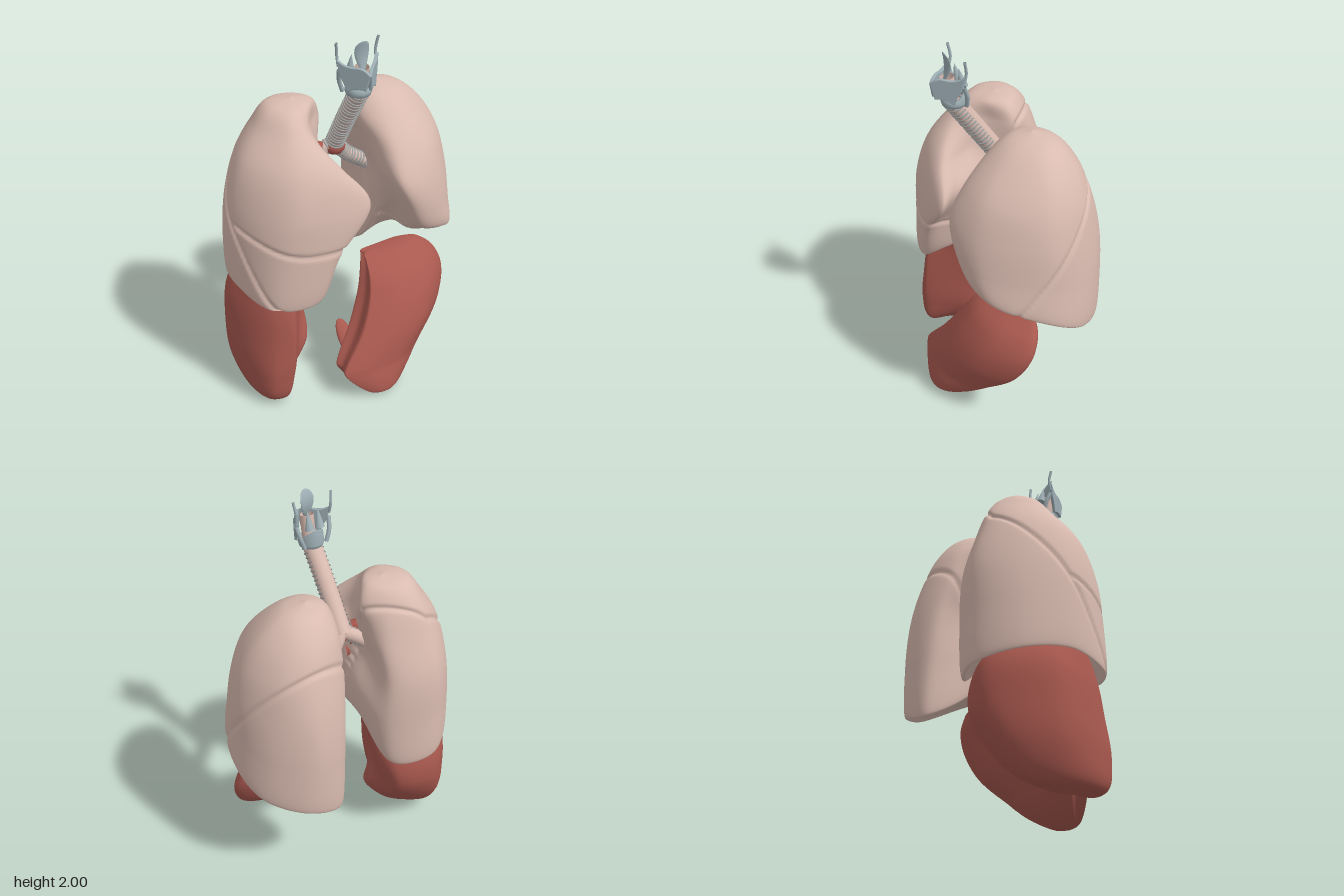
import * as THREE from 'three';

const V = (x, y, z) => new THREE.Vector3(x, y, z);
const mat = (color) => new THREE.MeshStandardMaterial({ color, side: THREE.DoubleSide });
const LUNG = mat(0xd9bbb0), LIVER = mat(0xa9594f), CARTILAGE = mat(0x9fb0b6), RING = mat(0xa3a8a8);

function add(parent, name, geometry, material, position) {
  const mesh = new THREE.Mesh(geometry, material);
  mesh.name = name;
  if (position) mesh.position.set(...position);
  parent.add(mesh);
  return mesh;
}

// Smooth closed surface through rings of points, from the first pole to the last
function loft(rings, rows, cols) {
  const columns = rings[0].map((_, j) => new THREE.CatmullRomCurve3(rings.map((r) => r[j])));
  const pos = [], index = [];
  for (let i = 0; i <= rows; i++) {
    const row = new THREE.CatmullRomCurve3(columns.map((c) => c.getPoint(i / rows)), true);
    for (let j = 0; j < cols; j++) pos.push(...row.getPoint(j / cols).toArray());
  }
  for (let i = 0; i < rows; i++) for (let j = 0; j < cols; j++) {
    const a = i * cols + j, b = i * cols + (j + 1) % cols;
    index.push(a, b, b + cols, a, b + cols, a + cols);
  }
  // Turn the faces outward, judged by the enclosed volume
  const at = (i) => V().fromArray(pos, i * 3);
  let volume = 0;
  for (let k = 0; k < index.length; k += 3)
    volume += at(index[k]).dot(at(index[k + 1]).cross(at(index[k + 2])));
  if (volume < 0) index.reverse();
  const g = new THREE.BufferGeometry();
  g.setAttribute('position', new THREE.Float32BufferAttribute(pos, 3));
  g.setIndex(index);
  g.computeVertexNormals();
  return g;
}
const pole = (p, n) => Array.from({ length: n }, () => p.clone());

// Lung: sections run front, front-side, side, back-side, back, back-middle, middle, front-middle
function lung(parent, name, side, levels, rims, sections, dome, apex, lobes, fissures, lobeOf) {
  const rings = sections.map((s, k) => s.map(([x, z], j) => {
    const f = (levels[k] - 0.65) / 0.98;
    return V(side * x, levels[k] + (rims[j] - 0.65) * (1 - f) ** 2, z);
  }));
  // Underside that rests on the diaphragm
  const under = (t, rise) => rings[0].map((p) => {
    const q = p.clone().lerp(dome, t);
    q.y = p.y + (dome.y - p.y) * rise;
    return q;
  });
  const g = loft([pole(dome, 8), under(0.5, 0.75), under(0.1, 0.15), ...rings, pole(apex, 8)], 180, 130);

  // Press the fissures into the surface
  const p = g.attributes.position, n = g.attributes.normal;
  for (let i = 0; i < p.count; i++) {
    const q = V().fromBufferAttribute(p, i);
    const d = Math.min(...fissures.map((f) => Math.abs(f(q))));
    q.addScaledVector(V().fromBufferAttribute(n, i), -0.012 * Math.exp(-((d / 0.012) ** 2)));
    p.setXYZ(i, q.x, q.y, q.z);
  }
  g.computeVertexNormals();

  // Share the faces out between the lobes
  const parts = lobes.map(() => []), idx = g.index.array;
  for (let k = 0; k < idx.length; k += 3) {
    const c = V();
    for (let m = 0; m < 3; m++) c.add(V().fromBufferAttribute(p, idx[k + m]));
    parts[lobeOf(c.divideScalar(3))].push(idx[k], idx[k + 1], idx[k + 2]);
  }
  const group = new THREE.Group();
  group.name = name;
  parent.add(group);
  lobes.forEach((lobe, k) => {
    const lg = new THREE.BufferGeometry();
    lg.setAttribute('position', p);
    lg.setAttribute('normal', g.attributes.normal);
    lg.setIndex(parts[k]);
    add(group, lobe, lg, LUNG);
  });
}

// Airway tube with horseshoe rings that are open at the back
function airway(parent, name, points, radius, count) {
  const group = new THREE.Group(), curve = new THREE.CatmullRomCurve3(points);
  group.name = name;
  parent.add(group);
  add(group, name + 'Wall', new THREE.TubeGeometry(curve, 30, radius, 18), LUNG);
  const arc = 4, ring = new THREE.TorusGeometry(radius, 0.005, 6, 18, arc);
  ring.rotateZ(-Math.PI / 2 - arc / 2);
  for (let i = 0; i < count; i++) {
    const t = (i + 0.5) / count, at = curve.getPointAt(t);
    const m = add(group, name + 'Ring', ring, RING, at.toArray());
    m.up.set(0, 0, -1);
    m.lookAt(at.add(curve.getTangentAt(t)));
    m.rotateX(0.06 * Math.sin(i * 2.3));
  }
}

const tube = (points, r) => new THREE.TubeGeometry(new THREE.CatmullRomCurve3(points), 16, r, 10);

function larynx(parent) {
  const g = new THREE.Group();
  g.name = 'larynx';
  g.position.x = -0.012;
  parent.add(g);
  // Shield-like plates meeting at the front, with horns at their back edges
  const plate = new THREE.Shape();
  plate.moveTo(0.02, 0.005);
  plate.lineTo(0, 0.08);
  plate.quadraticCurveTo(0.03, 0.115, 0.08, 0.105);
  plate.quadraticCurveTo(0.13, 0.1, 0.165, 0.13);
  plate.lineTo(0.15, 0.06);
  plate.quadraticCurveTo(0.125, 0.02, 0.115, -0.015);
  plate.quadraticCurveTo(0.07, 0.015, 0.02, 0.005);
  for (const s of [-1, 1]) {
    const geo = new THREE.ExtrudeGeometry(plate, { depth: 0.01, bevelEnabled: true, bevelSize: 0.003, bevelThickness: 0.003, bevelSegments: 2, curveSegments: 8 });
    geo.translate(0, 0, -0.005);
    add(g, 'thyroidPlate', geo, CARTILAGE, [0, 1.77, 0.33]).rotation.y = s > 0 ? 0.9 : Math.PI - 0.9;
    add(g, 'upperHorn', tube([V(s * 0.1, 1.87, 0.2), V(s * 0.102, 1.92, 0.19), V(s * 0.11, 1.985, 0.2)], 0.007), CARTILAGE);
    add(g, 'lowerHorn', tube([V(s * 0.096, 1.85, 0.2), V(s * 0.085, 1.79, 0.18), V(s * 0.065, 1.73, 0.175)], 0.011), CARTILAGE);
    const cone = add(g, 'arytenoid', new THREE.ConeGeometry(0.025, 0.1, 10), CARTILAGE, [s * 0.03, 1.87, 0.19]);
    cone.rotation.x = 0.2;
  }
  // Signet ring, taller at the back
  const profile = [[0.052, -0.02], [0.06, -0.02], [0.066, 0], [0.06, 0.02], [0.052, 0.02], [0.052, -0.02]];
  const ring = new THREE.LatheGeometry(profile.map(([x, y]) => new THREE.Vector2(x, y)), 32);
  const p = ring.attributes.position;
  for (let i = 0; i < p.count; i++) {
    const back = Math.max(0, -p.getZ(i) / 0.065);
    if (p.getY(i) > 0) p.setY(i, p.getY(i) + 0.07 * back);
  }
  ring.computeVertexNormals();
  add(g, 'cricoid', ring, CARTILAGE, [0, 1.74, 0.215]);
  // Leaf-shaped flap
  const leaf = new THREE.SphereGeometry(1, 24, 16), q = leaf.attributes.position;
  for (let i = 0; i < q.count; i++) {
    const y = q.getY(i), x = q.getX(i) * (0.036 + 0.014 * y);
    q.setXYZ(i, x, y * 0.075, q.getZ(i) * 0.008 + 0.015 * y * y - 6 * x * x);
  }
  leaf.computeVertexNormals();
  add(g, 'epiglottis', leaf, CARTILAGE, [0, 1.925, 0.25]);
  add(g, 'innerLining', tube([V(0, 1.7, 0.21), V(0, 1.78, 0.235), V(0, 1.87, 0.25)], 0.035), LUNG);
}

function liver(parent) {
  // Paired close points keep the front ridge and the inner back edge crisp
  const ys = [0.04, 0.19, 0.4, 0.6, 0.75];
  const right = [
    [[-0.43, 0.23], [-0.45, 0.24], [-0.52, 0.22], [-0.57, 0.1], [-0.56, -0.08], [-0.49, -0.18], [-0.42, -0.12], [-0.4, -0.08], [-0.38, 0.02], [-0.41, 0.14]],
    [[-0.405, 0.265], [-0.425, 0.275], [-0.52, 0.25], [-0.6, 0.1], [-0.62, -0.1], [-0.47, -0.31], [-0.24, -0.2], [-0.2, -0.06], [-0.215, 0.01], [-0.31, 0.1]],
    [[-0.385, 0.265], [-0.405, 0.275], [-0.505, 0.23], [-0.6, 0.08], [-0.63, -0.12], [-0.43, -0.38], [-0.2, -0.33], [-0.16, -0.22], [-0.165, -0.18], [-0.27, 0.03]],
    [[-0.375, 0.235], [-0.395, 0.245], [-0.49, 0.2], [-0.58, 0.06], [-0.61, -0.12], [-0.42, -0.36], [-0.18, -0.3], [-0.13, -0.21], [-0.135, -0.17], [-0.25, 0.04]],
    [[-0.36, 0.18], [-0.38, 0.18], [-0.47, 0.14], [-0.54, 0.03], [-0.52, -0.1], [-0.4, -0.24], [-0.22, -0.2], [-0.16, -0.14], [-0.165, -0.11], [-0.24, 0.05]],
  ].map((s, k) => s.map(([x, z]) => V(x, ys[k], z)));
  add(parent, 'liverRightLobe', loft([pole(V(-0.49, 0, 0.04), 10), ...right, pole(V(-0.35, 0.86, 0.03), 10)], 60, 80), LIVER);

  // Leaning left lobe: height, inner x, outer x, back z, front z
  const left = [[0.025, 0, 0.16, 0.35, 0.415], [0.09, -0.09, 0.27, 0.25, 0.41], [0.165, -0.15, 0.355, 0.185, 0.39],
    [0.19, -0.142, 0.38, 0.17, 0.385], [0.35, -0.02, 0.535, 0.06, 0.345], [0.5, 0.06, 0.59, 0, 0.275],
    [0.6, 0.095, 0.56, -0.03, 0.2], [0.66, 0.115, 0.49, -0.03, 0.1], [0.676, 0.12, 0.45, -0.03, 0.07],
  ].map(([y, a, b, zb, zf]) => {
    const w = b - a, t = zf - zb;
    return [[0, 0.83], [0.03, 0.87], [0.3, 1], [0.7, 0.85], [1, 0.25], [0.75, 0], [0.3, 0.15], [0.03, 0.3], [0, 0.34], [0.03, 0.55]]
      .map(([u, v]) => V(a + u * w, y, zb + v * t));
  });
  add(parent, 'liverLeftLobe', loft([pole(V(0.08, 0.012, 0.395), 10), ...left, pole(V(0.28, 0.682, 0.02), 10)], 70, 80), LIVER);
  const flap = add(parent, 'liverLigament', new THREE.SphereGeometry(1, 20, 12), LIVER, [-0.055, 0.26, 0.18]);
  flap.scale.set(0.045, 0.115, 0.02);
  flap.rotation.set(-0.55, 0, 0.15);
}

export function createModel() {
  const model = new THREE.Group();
  model.name = 'lungsAndLiver';
  const levels = [0.65, 0.9, 1.15, 1.35, 1.5, 1.595];

  // Left lung, two lobes; the rim drops from the inner front to the inner back
  const leftCut = (q) => (q.y - (0.98 - 1.25 * q.z)) / 1.6;
  lung(model, 'leftLung', 1, levels, [0.93, 0.87, 0.77, 0.65, 0.58, 0.53, 0.67, 1.03], [
    [[0.31, 0.29], [0.5, 0.25], [0.625, 0.02], [0.6, -0.21], [0.42, -0.38], [0.22, -0.37], [0.2, -0.14], [0.22, 0.16]],
    [[0.26, 0.33], [0.46, 0.28], [0.62, 0], [0.57, -0.26], [0.38, -0.41], [0.19, -0.36], [0.19, -0.13], [0.18, 0.18]],
    [[0.19, 0.33], [0.42, 0.275], [0.605, -0.02], [0.53, -0.27], [0.37, -0.39], [0.17, -0.33], [0.19, -0.1], [0.14, 0.18]],
    [[0.18, 0.25], [0.38, 0.23], [0.56, -0.03], [0.49, -0.25], [0.34, -0.34], [0.14, -0.27], [0.13, -0.08], [0.12, 0.12]],
    [[0.19, 0.14], [0.33, 0.13], [0.48, -0.06], [0.42, -0.22], [0.3, -0.28], [0.15, -0.23], [0.09, -0.1], [0.1, 0.05]],
    [[0.2, 0.03], [0.29, 0.02], [0.37, -0.08], [0.35, -0.16], [0.27, -0.2], [0.18, -0.17], [0.13, -0.1], [0.14, -0.02]],
  ], V(0.39, 0.77, -0.08), V(0.23, 1.632, -0.09), ['upperLobe', 'lowerLobe'], [leftCut], (q) => (leftCut(q) > 0 ? 0 : 1));

  // Right lung, three lobes; the slanting fissure climbs towards the inner back
  const oblique = (q) => (q.y - (1.03 - 1.3 * q.z - 0.25 * Math.max(0, q.z - 0.05)
    + Math.max(0, q.x + 0.35) * THREE.MathUtils.clamp(-q.z / 0.13, 0, 1))) / 1.7;
  const level = (q) => q.y - (0.94 + 0.1 * (Math.max(0, -q.x - 0.3) / 0.3) ** 2);
  lung(model, 'rightLung', -1, levels, [0.65, 0.63, 0.67, 0.64, 0.6, 0.6, 0.8, 0.76], [
    [[0.28, 0.31], [0.5, 0.25], [0.6, 0], [0.55, -0.25], [0.36, -0.4], [0.14, -0.33], [0.1, -0.08], [0.16, 0.2]],
    [[0.17, 0.33], [0.47, 0.27], [0.615, 0], [0.56, -0.25], [0.36, -0.41], [0.11, -0.34], [0.06, -0.12], [0.13, 0.21]],
    [[-0.015, 0.305], [0.4, 0.29], [0.6, 0], [0.53, -0.25], [0.35, -0.4], [0.12, -0.33], [0.11, -0.1], [0.03, 0.21]],
    [[0.12, 0.25], [0.36, 0.24], [0.54, 0], [0.48, -0.23], [0.33, -0.34], [0.12, -0.27], [0.09, -0.1], [0.15, 0.08]],
    [[0.24, 0.13], [0.33, 0.12], [0.44, -0.05], [0.4, -0.2], [0.3, -0.28], [0.15, -0.23], [0.07, -0.12], [0.16, 0]],
    [[0.24, 0.02], [0.29, 0.02], [0.36, -0.06], [0.34, -0.16], [0.26, -0.2], [0.17, -0.17], [0.12, -0.1], [0.16, -0.02]],
  ], V(-0.37, 0.92, -0.02), V(-0.23, 1.622, -0.09), ['upperLobe', 'middleLobe', 'lowerLobe'],
  [oblique, (q) => (oblique(q) > 0 ? level(q) : 1)], (q) => (oblique(q) < 0 ? 2 : level(q) > 0 ? 0 : 1));

  // Windpipe, its two branches and the vessels beside them
  airway(model, 'trachea', [V(-0.012, 1.74, 0.225), V(-0.015, 1.55, 0.095), V(-0.01, 1.33, -0.055)], 0.048, 21);
  airway(model, 'leftBronchus', [V(-0.005, 1.34, -0.05), V(0.06, 1.26, -0.07), V(0.2, 1.16, -0.09)], 0.036, 12);
  airway(model, 'rightBronchus', [V(-0.015, 1.34, -0.05), V(-0.09, 1.29, -0.07), V(-0.2, 1.2, -0.09)], 0.038, 10);
  add(model, 'fork', new THREE.SphereGeometry(0.05, 20, 14), LIVER, [-0.01, 1.32, -0.04]).scale.set(1.1, 0.9, 0.9);
  for (const [y, z] of [[1.24, 0], [1.15, 0.02], [1.33, -0.03]])
    add(model, 'vessel', tube([V(-0.09, y, z), V(-0.13, y + 0.01, z - 0.02), V(-0.2, y, z - 0.05)], 0.033), LIVER);

  larynx(model);
  liver(model);
  return model;
}
